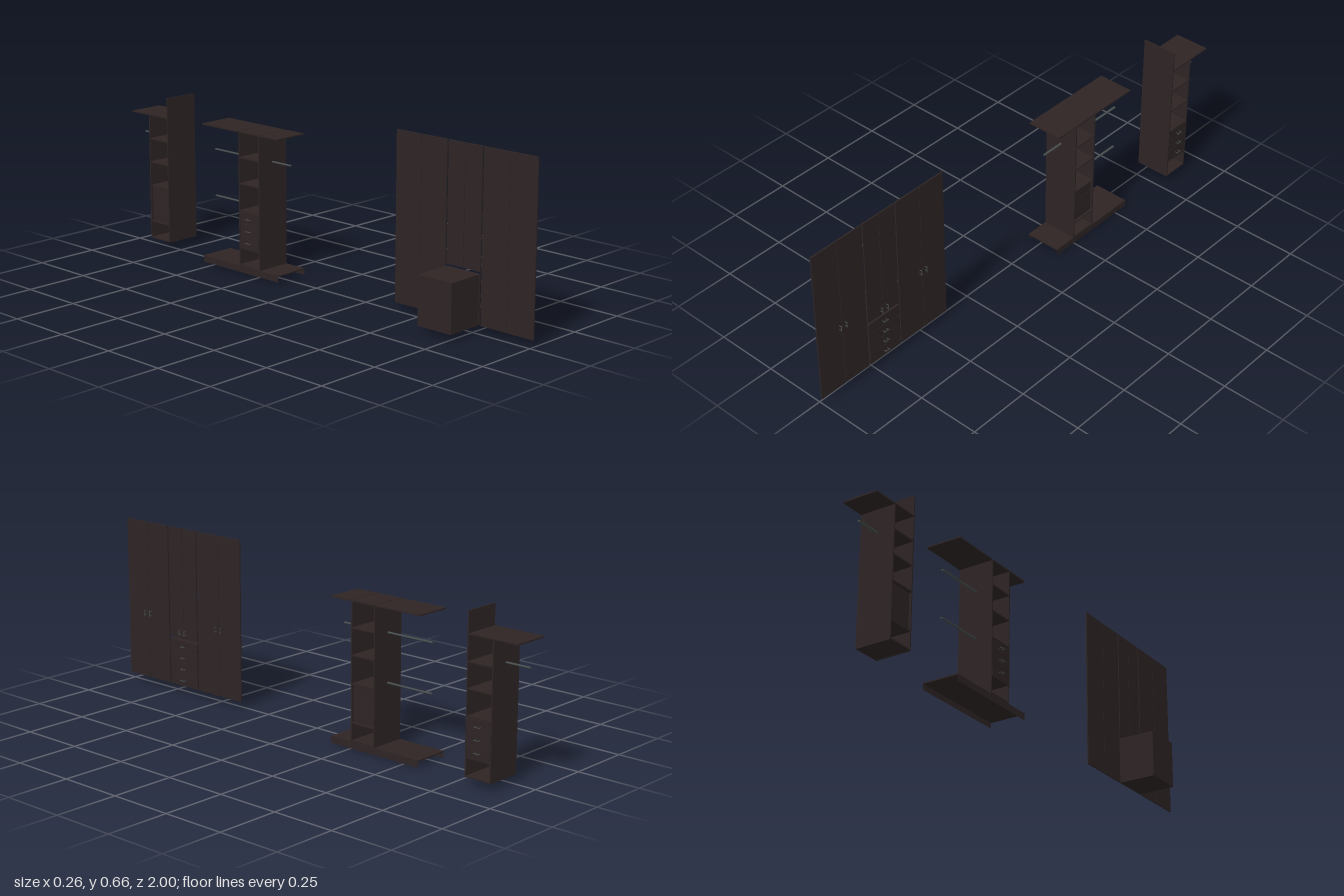
import * as THREE from 'three';

export function createModel() {
  const model = new THREE.Group();
  const wood = new THREE.MeshStandardMaterial({ color: 0x2e2424 });
  wood.name = 'dark wood';
  const metal = new THREE.MeshStandardMaterial({ color: 0x454b4c });
  metal.name = 'grey metal';
  const T = 0.005; // board thickness

  // Box given by its limits along each axis
  function board(parent, name, [x0, x1], [y0, y1], [z0, z1], material = wood) {
    const mesh = new THREE.Mesh(new THREE.BoxGeometry(x1 - x0, y1 - y0, z1 - z0), material);
    mesh.position.set((x0 + x1) / 2, (y0 + y1) / 2, (z0 + z1) / 2);
    mesh.name = name;
    parent.add(mesh);
    return mesh;
  }

  function section(name) {
    const group = new THREE.Group();
    group.name = name;
    model.add(group);
    return group;
  }

  // Bar on two posts, standing out along +x (side 1) or -x (side -1)
  function handle(parent, x, y, z, side, upright) {
    const g = new THREE.Group();
    g.name = 'handle';
    const r = 0.001;
    board(g, 'handleBar', [0.010, 0.0125], [-r, r], [-0.0125, 0.0125], metal);
    for (const s of [-0.008, 0.008]) {
      board(g, 'handlePost', [0, 0.011], [-r, r], [s - r, s + r], metal);
    }
    if (upright) g.rotation.x = Math.PI / 2;
    if (side < 0) g.rotation.y = Math.PI;
    g.position.set(x, y, z);
    parent.add(g);
  }

  // Flattened hanging rail along z
  function rail(parent, x, y, z0, z1) {
    const geo = new THREE.CylinderGeometry(0.005, 0.005, z1 - z0, 16).rotateX(Math.PI / 2);
    const mesh = new THREE.Mesh(geo, metal);
    mesh.scale.y = 0.7;
    mesh.position.set(x, y, (z0 + z1) / 2);
    mesh.name = 'hangingRail';
    parent.add(mesh);
  }

  // Open shelf column with three drawers facing one side
  function tower(parent, [x0, x1], [z0, z1], shelves, tops, side) {
    board(parent, 'sidePanel', [x0, x1], [0.026, tops[0]], [z0, z0 + T]);
    board(parent, 'sidePanel', [x0, x1], [0.026, tops[1]], [z1 - T, z1]);
    for (const y of shelves) {
      board(parent, 'shelf', [x0, x1], [y - T / 2, y + T / 2], [z0 + T, z1 - T]);
    }
    for (let i = 0; i < 3; i++) {
      const y = 0.1 + i * 0.0467;
      const xs = side > 0 ? [x0 + 0.008, x1] : [x0, x1 - 0.008];
      board(parent, 'drawer', xs, [y, y + 0.0455], [z0 + T + 0.001, z1 - T - 0.001]);
      handle(parent, side > 0 ? x1 : x0, y + 0.023, (z0 + z1) / 2, side, false);
    }
  }

  // Door wall: two pairs of tall doors, a short pair above the drawers
  const doors = section('doorWall');
  const doorX = [0.0135, 0.0185];
  const pairs = [
    { z: 0.888, half: 0.115, y0: 0.026, handleY: 0.2915 },
    { z: 0.692, half: 0.075, y0: 0.218, handleY: 0.2445 },
    { z: 0.495, half: 0.116, y0: 0.026, handleY: 0.2915 },
  ];
  for (const { z, half, y0, handleY } of pairs) {
    for (const s of [-1, 1]) {
      const zs = [z + s * 0.0007, z + s * half].sort((a, b) => a - b);
      board(doors, 'door', doorX, [y0, 0.66], zs);
      handle(doors, doorX[1], handleY, z + s * 0.0135, 1, true);
    }
  }
  board(doors, 'drawerCabinet', [-0.133, 0.0125], [0.025, 0.209], [0.614, 0.764]);
  for (let i = 0; i < 4; i++) {
    const y = 0.0265 + i * 0.046;
    board(doors, 'drawerFront', [0.0125, doorX[1]], [y, y + 0.0448], [0.617, 0.767]);
    handle(doors, doorX[1], y + 0.0235, 0.692, 1, false);
  }

  // Middle wardrobe interior on a long plinth
  const middle = section('middleInterior');
  const mx = [-0.05, 0.093], mz = [-0.36, -0.249];
  const ends = [-0.562, -0.153];
  board(middle, 'plinthTop', mx, [0.021, 0.026], ends);
  for (const x of [mx[0] + 0.0004, mx[1] - 0.0004]) {
    board(middle, 'plinthFace', [x - 0.0004, x + 0.0004], [0, 0.021], ends);
  }
  tower(middle, mx, mz, [0.0295, 0.097, 0.243, 0.348, 0.449], [0.545, 0.545], -1);
  const gap = 0.0015;
  for (const zs of [[ends[0], mz[0] - gap], [mz[0] + gap, mz[1] - gap], [mz[1] + gap, ends[1]]]) {
    board(middle, 'topPanel', mx, [0.545, 0.55], zs);
  }
  rail(middle, 0.0215, 0.438, mz[1], ends[1]);
  rail(middle, 0.0215, 0.438, ends[0], mz[0]);
  rail(middle, 0.0215, 0.253, ends[0], mz[0]);

  // Rear wardrobe interior with one taller side
  const rear = section('rearInterior');
  const rx = [-0.024, 0.119], rz = [-0.9, -0.789];
  tower(rear, rx, rz, [0.0295, 0.097, 0.243, 0.34, 0.434], [0.528, 0.611], 1);
  board(rear, 'topPanel', rx, [0.528, 0.533], [-1, rz[1] - T]);
  rail(rear, 0.0475, 0.438, -1, rz[0]);

  return model;
}
